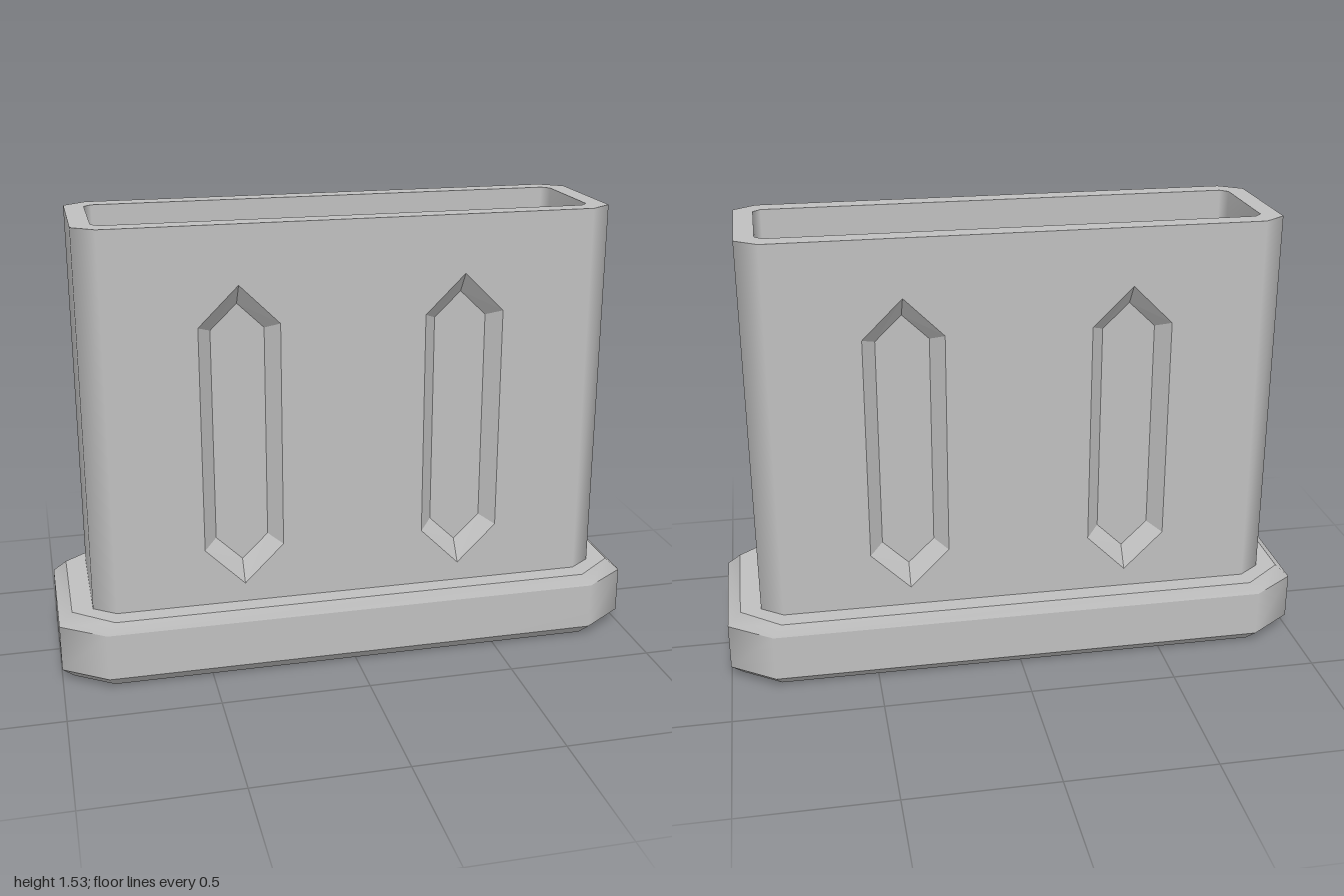
import * as THREE from 'three';
import { mergeGeometries } from 'three/addons/utils/BufferGeometryUtils.js';

// Chamfered rectangle: half sizes x, z and the points where the corner cuts begin
const octagon = (x, z, cx, cz) => [
  [-cx, z], [cx, z], [x, cz], [x, -cz], [cx, -z], [-cx, -z], [-x, -cz], [-x, cz],
];
const atHeight = (ring, y) => ring.map(([x, z]) => new THREE.Vector3(x, y, z));
const atDepth = (ring, z) => ring.map(([x, y]) => new THREE.Vector3(x, y, z));

// Strip of quads between two closed rings, smooth around the ring;
// sides listed in skip are left open
function band(a, b, { skip = [], flat = false } = {}) {
  const n = a.length;
  const quads = (left) => a.flatMap((_, i) => {
    const j = (i + 1) % n;
    return left.includes(i) ? [] : [i, j, n + j, i, n + j, n + i];
  });
  const g = new THREE.BufferGeometry().setFromPoints([...a, ...b]);
  g.setIndex(quads([]));
  g.computeVertexNormals();
  g.setIndex(quads(skip));
  const out = g.toNonIndexed();
  if (flat) out.computeVertexNormals();
  return out;
}

const toPoints = (ring) => ring.map(([x, y]) => new THREE.Vector2(x, y));

// Flat plate with optional holes, facing +z
function plate(ring, holes = []) {
  const shape = new THREE.Shape(toPoints(ring));
  holes.forEach((h) => shape.holes.push(new THREE.Path(toPoints(h))));
  const g = new THREE.ShapeGeometry(shape).toNonIndexed();
  g.deleteAttribute('uv');
  return g;
}
const lid = (ring, y, holes) => plate(ring, holes).rotateX(-Math.PI / 2).translate(0, y, 0);

// Upright hexagon with pointed ends, counter-clockwise
const slotRing = (cx, w, tip, shoulder) => {
  const mid = 0.82;
  return [
    [cx, mid - tip], [cx + w, mid - shoulder], [cx + w, mid + shoulder],
    [cx, mid + tip], [cx - w, mid + shoulder], [cx - w, mid - shoulder],
  ];
};

export function createModel() {
  const group = new THREE.Group();
  const grey = new THREE.MeshStandardMaterial({ color: 0xbfbfbf });
  grey.name = 'grey';
  const add = (name, geometries, parent = group) => {
    const mesh = new THREE.Mesh(mergeGeometries(geometries), grey);
    mesh.name = name;
    parent.add(mesh);
  };

  // Bevelled base
  const baseBottom = octagon(0.96, 0.295, 0.83, 0.205);
  const baseSide = octagon(1, 0.335, 0.85, 0.23);
  const baseTop = octagon(0.955, 0.32, 0.82, 0.21);
  add('base', [
    plate(baseBottom).rotateX(Math.PI / 2),
    band(atHeight(baseBottom, 0), atHeight(baseSide, 0.04)),
    band(atHeight(baseSide, 0.04), atHeight(baseSide, 0.2)),
    band(atHeight(baseSide, 0.2), atHeight(baseTop, 0.24)),
    lid(baseTop, 0.24),
  ]);

  // Body ends and chamfers; front and back are closed by the slotted panels
  const low = 0.24, high = 1.53, front = 0.255;
  const body = octagon(0.885, front, 0.81, 0.2);
  add('bodyEnds', [band(atHeight(body, low), atHeight(body, high), { skip: [0, 4] })]);

  // Rim and shallow recess on top
  const opening = octagon(0.82, 0.187, 0.795, 0.162);
  const floor = high - 0.1;
  add('rim', [lid(body, high, [opening])]);
  add('recessWalls', [band(atHeight(opening, high), atHeight(opening, floor))]);
  add('recessFloor', [lid(opening, floor)]);

  // Front and back panels, each with two sunken slots
  const panel = [[-0.81, low], [0.81, low], [0.81, high], [-0.81, high]];
  ['front', 'back'].forEach((side, k) => {
    const face = new THREE.Group();
    face.name = side + 'Face';
    face.rotation.y = k * Math.PI;
    group.add(face);
    const outer = [-0.375, 0.375].map((x) => slotRing(x, 0.133, 0.515, 0.383));
    const inner = [-0.375, 0.375].map((x) => slotRing(x, 0.088, 0.445, 0.36));
    add(side + 'Panel', [plate(panel, outer).translate(0, 0, front)], face);
    outer.forEach((ring, i) => {
      add(side + 'Slot' + (i + 1), [
        band(atDepth(ring, front), atDepth(inner[i], front - 0.05), { flat: true }),
        plate(inner[i]).translate(0, 0, front - 0.05),
      ], face);
    });
  });

  return group;
}
